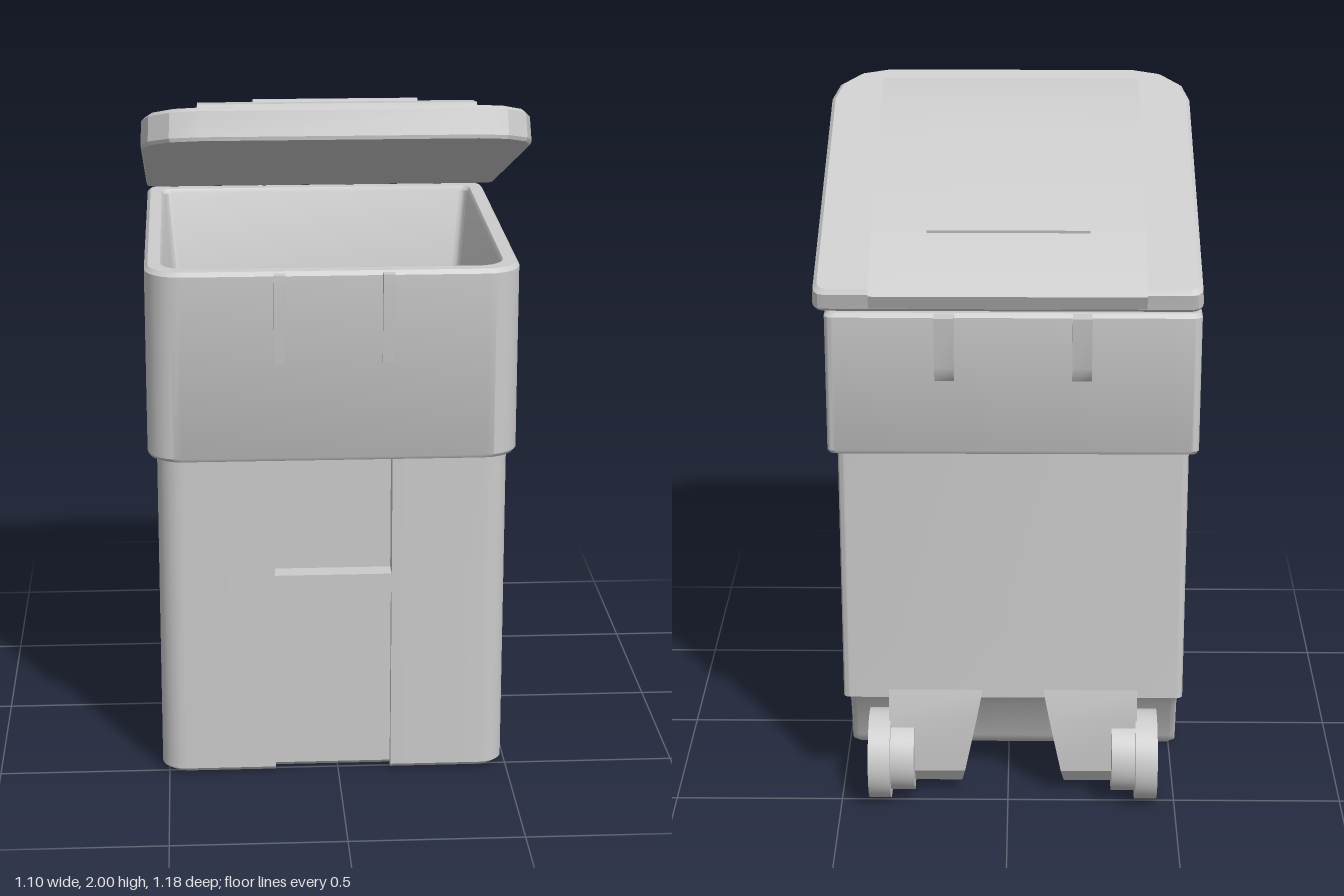
import * as THREE from 'three';
import { toCreasedNormals } from 'three/addons/utils/BufferGeometryUtils.js';

const material = new THREE.MeshStandardMaterial({ color: 0xcccccc });

function mesh(name, geometry, parent, crease = 0.6) {
  const m = new THREE.Mesh(toCreasedNormals(geometry, crease), material);
  m.name = name;
  parent.add(m);
  return m;
}

// Rounded outline running front -> +x -> back -> -x, with an optional notch in the front edge.
function outline(hw, zBack, zFront, rFront, rBack, y, segs = 6, notch) {
  const pts = [];
  const add = (x, z) => pts.push(new THREE.Vector3(x, typeof y === 'function' ? y(z) : y, z));
  if (notch !== undefined) {
    const w = 0.17;
    add(-w, zFront); add(-w, zFront - notch); add(w, zFront - notch); add(w, zFront);
  }
  const corners = [[1, 1], [1, -1], [-1, -1], [-1, 1]];
  corners.forEach(([sx, sz], q) => {
    const r = sz > 0 ? rFront : rBack;
    const cx = sx * (hw - r), cz = sz > 0 ? zFront - r : zBack + r;
    for (let i = 0; i <= segs; i++) {
      const a = (q + i / segs) * Math.PI / 2;
      add(cx + r * Math.sin(a), cz + r * Math.cos(a));
    }
  });
  return pts;
}

// Skin between successive outlines, optionally closed at either end.
function loft(rings, capStart, capEnd) {
  const pos = [], n = rings[0].length, t = new THREE.Triangle();
  const tri = (a, b, c) => {
    if (t.set(a, b, c).getArea() > 1e-8) for (const p of [a, b, c]) pos.push(p.x, p.y, p.z);
  };
  for (let k = 0; k + 1 < rings.length; k++) {
    const a = rings[k], b = rings[k + 1];
    for (let i = 0; i < n; i++) {
      const j = (i + 1) % n;
      tri(a[i], a[j], b[j]);
      tri(a[i], b[j], b[i]);
    }
  }
  const cap = (ring, up) => {
    const flat = ring.map(p => new THREE.Vector2(p.x, -p.z));
    for (const [a, b, c] of THREE.ShapeUtils.triangulateShape(flat, [])) {
      if (up) tri(ring[a], ring[b], ring[c]); else tri(ring[a], ring[c], ring[b]);
    }
  };
  if (capStart) cap(rings[0], false);
  if (capEnd) cap(rings[rings.length - 1], true);
  const g = new THREE.BufferGeometry();
  g.setAttribute('position', new THREE.Float32BufferAttribute(pos, 3));
  return g;
}

// Side profile of [z, y] points extruded from x0 to x1.
function slab(points, x0, x1) {
  const shape = new THREE.Shape(points.map(([z, y]) => new THREE.Vector2(z, y)));
  const g = new THREE.ExtrudeGeometry(shape, { depth: x1 - x0, bevelEnabled: false });
  return g.rotateY(-Math.PI / 2).translate(x1, 0, 0);
}

function mirrored(name, x0, x1, points, parent) {
  for (const s of [1, -1]) {
    mesh(s > 0 ? name + 'Left' : name + 'Right', slab(points, s > 0 ? x0 : -x1, s > 0 ? x1 : -x0), parent);
  }
}

function buildBin() {
  const bin = new THREE.Group();
  bin.name = 'bin';
  bin.position.x = -0.015;

  // Body: [y, back z, depth of the front recess, inset]
  const sections = [
    [0.005, -0.14, 0.03, 0.012], [0.017, -0.152, 0.03, 0], [0.04, -0.165, 0.03, 0],
    [0.17, -0.205, 0.03, 0], [0.28, -0.32, 0.03, 0], [0.335, -0.48, 0.03, 0],
    [0.565, -0.48, 0.03, 0], [0.565, -0.48, 0, 0], [0.62, -0.48, 0, 0],
    [0.62, -0.48, 0.06, 0], [1.2, -0.48, 0.06, 0],
  ];
  mesh('body', loft(sections.map(([y, zb, notch, inset]) =>
    outline(0.505 - inset, zb, 0.53 - inset, 0.07, 0.02, y, 6, notch)), true, false), bin);

  // Collar with sloping lower edge, rim and inner cavity
  const low = z => 0.98 + Math.max(0, 0.43 - z) * 0.16;
  const top = z => 1.545 - 0.018 * z;
  const ring = (inset, y) => outline(0.532 - inset, -0.515 + inset, 0.565 - inset,
    Math.max(0.1 - inset * 0.5, 0.05), 0.025, y);
  mesh('collar', loft([
    ring(0.13, low), ring(0.006, low), ring(0, z => low(z) + 0.01),
    ring(0, z => top(z) - 0.012), ring(0.01, top), ring(0.045, top),
    ring(0.053, z => top(z) - 0.012), ring(0.1, 1.0), ring(0.13, 0.4),
  ], false, true), bin);

  // Ribs on the front and back of the collar
  mirrored('frontRib', 0.137, 0.17,
    [[0.55, 1.27], [0.568, 1.27], [0.578, 1.36], [0.59, 1.5], [0.59, 1.53], [0.55, 1.53]], bin);
  mirrored('backRib', 0.167, 0.222,
    [[-0.5, 1.34], [-0.522, 1.36], [-0.535, 1.4], [-0.555, 1.553], [-0.5, 1.553]], bin);

  // Wheel mounts, narrowing downwards on the inner side
  for (const s of [1, -1]) {
    const side = s > 0 ? 'Left' : 'Right';
    const mount = slab([[-0.14, 0.2], [-0.2, 0.17], [-0.33, 0.055], [-0.38, 0.035], [-0.45, 0.04],
      [-0.485, 0.09], [-0.495, 0.27], [-0.48, 0.36], [-0.15, 0.36]],
      s > 0 ? 0.09 : -0.37, s > 0 ? 0.37 : -0.09);
    const p = mount.attributes.position;
    for (let i = 0; i < p.count; i++) {
      if (Math.abs(p.getX(i)) < 0.2) p.setX(i, s * (0.09 + 0.2 * (0.36 - p.getY(i))));
    }
    mesh('wheelMount' + side, mount, bin, 0.5);

    const wheel = new THREE.CylinderGeometry(0.135, 0.135, 0.065, 40).rotateZ(Math.PI / 2);
    mesh('wheel' + side, wheel, bin).position.set(s * 0.398, 0.135, -0.455);
    const hub = new THREE.CylinderGeometry(0.115, 0.115, 0.08, 32).rotateZ(Math.PI / 2);
    mesh('hub' + side, hub, bin).position.set(s * 0.335, 0.135, -0.445);
  }
  return bin;
}

function buildLid() {
  // Local frame: z runs from hinge to front edge, y is the lid's thickness
  const lid = new THREE.Group();
  lid.name = 'lid';
  lid.position.set(0, 1.555, -0.5);
  lid.rotation.x = -0.319;

  const top = z => 0.068 + 0.0235 * z;
  const ring = (inset, y) => outline(0.55 - inset, inset, 1.132 - inset, 0.16, 0.03, y, 3);
  mesh('lidPlate', loft([
    ring(0.004, 0), ring(0, 0.01), ring(0.003, z => top(z) - 0.012), ring(0.014, top),
  ], true, true), lid, 0.4);

  // Domed centre of the lid and the slightly raised panel on it
  const dome = new THREE.SplineCurve([[-0.018, 0.066], [0.21, 0.122], [0.523, 0.15], [0.716, 0.156],
    [0.89, 0.14], [1.04, 0.113]].map(p => new THREE.Vector2(...p)));
  const arc = dome.getPoints(30).map(p => [p.x, p.y]);
  mesh('lidDome', slab([[-0.012, 0.02], [1.045, 0.05], ...arc.slice().reverse()], -0.39, 0.39), lid);
  const panel = arc.filter(([z]) => z > 0.19 && z < 0.965).map(([z, y]) => [z, y + 0.008]);
  mesh('lidPanel', slab([[0.205, 0.08], [0.95, 0.08], ...panel.reverse()], -0.232, 0.232), lid);
  return lid;
}

export function createModel() {
  const model = new THREE.Group();
  model.name = 'wheeledBin';
  model.add(buildBin(), buildLid());
  return model;
}
